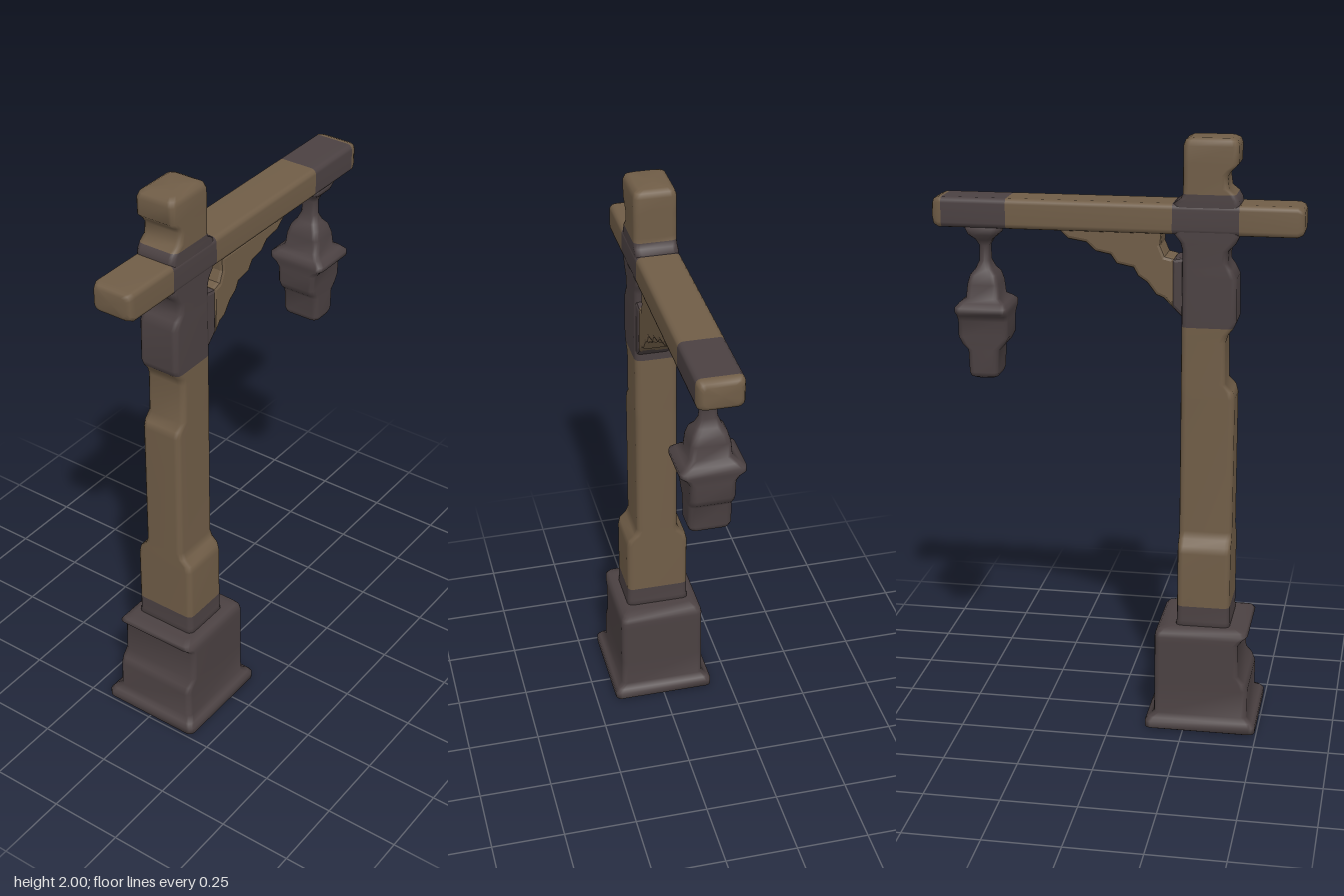
import * as THREE from 'three';

const wood = new THREE.MeshStandardMaterial({ color: 0x705d47 });
wood.name = 'weathered wood';
const iron = new THREE.MeshStandardMaterial({ color: 0x4b4142 });
iron.name = 'dark iron';
const W = 0, D = 1;

// Smooth loft of rounded rectangles: rows are [height, x0, x1, half depth, colour of the band above]
function loft(name, rows, radius) {
  const pos = [], idx = [], geo = new THREE.BufferGeometry();
  const steps = 4, n = steps * 4;
  const ring = ([y, x0, x1, hz]) => {
    const r = Math.min(radius, (x1 - x0) / 2.2, hz / 1.1);
    for (let c = 0; c < 4; c++) {
      const cx = c === 0 || c === 3 ? x1 - r : x0 + r;
      const cz = c < 2 ? hz - r : r - hz;
      for (let s = 0; s < steps; s++) {
        const a = (c + s / (steps - 1)) * Math.PI / 2;
        pos.push(cx + Math.cos(a) * r, y, cz + Math.sin(a) * r);
      }
    }
  };
  rows.forEach(ring);
  const cap = (row, base, up) => {
    const c = pos.length / 3, start = idx.length;
    pos.push((row[1] + row[2]) / 2, row[0], 0);
    for (let j = 0; j < n; j++) {
      const a = base + j, b = base + (j + 1) % n;
      idx.push(c, ...(up ? [b, a] : [a, b]));
    }
    geo.addGroup(start, idx.length - start, row[4]);
  };
  cap(rows[0], 0, false);
  for (let i = 0; i < rows.length - 1; i++) {
    const start = idx.length;
    for (let j = 0; j < n; j++) {
      const a = i * n + j, b = i * n + (j + 1) % n;
      idx.push(a, a + n, b, b, a + n, b + n);
    }
    geo.addGroup(start, idx.length - start, rows[i][4]);
  }
  cap(rows[rows.length - 1], (rows.length - 1) * n, true);
  geo.setAttribute('position', new THREE.Float32BufferAttribute(pos, 3));
  geo.setIndex(idx);
  geo.computeVertexNormals();
  const mesh = new THREE.Mesh(geo, [wood, iron]);
  mesh.name = name;
  return mesh;
}

// Bevelled plate cut from an outline in the front plane
function plate(name, points, z0, z1, material) {
  const bevel = 0.012;
  const geo = new THREE.ExtrudeGeometry(new THREE.Shape(points.map(p => new THREE.Vector2(...p))), {
    depth: z1 - z0 - 2 * bevel, bevelThickness: bevel, bevelSize: bevel, bevelOffset: -bevel, bevelSegments: 2,
  });
  geo.translate(0, 0, z0 + bevel);
  const mesh = new THREE.Mesh(geo, material);
  mesh.name = name;
  return mesh;
}

export function createModel() {
  const model = new THREE.Group();
  model.name = 'lanternPost';

  // Plinth and base block, worn away on one side
  model.add(loft('base', [
    [0, -0.48, -0.135, 0.165, D], [0.008, -0.495, -0.12, 0.18, D],
    [0.03, -0.495, -0.12, 0.18, D], [0.042, -0.485, -0.13, 0.17, D],
    [0.055, -0.465, -0.147, 0.152, D], [0.15, -0.465, -0.147, 0.15, D],
    [0.175, -0.455, -0.147, 0.15, D], [0.2, -0.433, -0.147, 0.15, D],
    [0.31, -0.43, -0.147, 0.15, D], [0.33, -0.445, -0.147, 0.15, D],
    [0.345, -0.462, -0.15, 0.147, D], [0.357, -0.455, -0.16, 0.138, D],
    [0.364, -0.425, -0.19, 0.118, D],
  ], 0.02));

  // Upright post with its iron foot and collar
  model.add(loft('post', [
    [0.34, -0.4, -0.21, 0.115, D], [0.38, -0.395, -0.217, 0.11, D], [0.432, -0.395, -0.217, 0.11, W],
    [0.62, -0.395, -0.217, 0.11, W], [0.645, -0.395, -0.217, 0.104, W],
    [0.665, -0.395, -0.217, 0.083, W], [0.69, -0.395, -0.217, 0.073, W],
    [1.15, -0.395, -0.217, 0.073, W], [1.175, -0.388, -0.217, 0.073, W],
    [1.2, -0.364, -0.217, 0.073, W], [1.34, -0.362, -0.217, 0.073, W],
    [1.365, -0.37, -0.217, 0.073, W], [1.388, -0.388, -0.217, 0.073, D],
    [1.41, -0.397, -0.217, 0.073, D], [1.55, -0.395, -0.217, 0.073, D],
    [1.58, -0.38, -0.217, 0.072, D], [1.6, -0.365, -0.217, 0.072, D],
    [1.64, -0.367, -0.217, 0.072, D], [1.665, -0.39, -0.21, 0.072, D],
    [1.69, -0.402, -0.19, 0.072, D], [1.79, -0.402, -0.188, 0.072, D],
    [1.805, -0.398, -0.21, 0.072, D], [1.822, -0.388, -0.217, 0.072, W],
    [1.84, -0.365, -0.217, 0.072, W], [1.88, -0.36, -0.217, 0.072, W],
    [1.9, -0.375, -0.217, 0.072, W], [1.92, -0.395, -0.217, 0.072, W],
    [1.975, -0.396, -0.217, 0.072, W], [1.992, -0.39, -0.223, 0.066, W],
    [2, -0.375, -0.238, 0.052, W],
  ], 0.02));

  // Crossbeam, lofted upright and then laid along x
  const end = (x, inset) => [x, -1.79 + inset, -1.69 - inset, 0.074 - inset, W];
  const span = (x, colour) => [x, -1.79, -1.69, 0.074, colour];
  const beam = loft('crossbeam', [
    end(-0.608, 0.018), end(-0.602, 0.007), end(-0.585, 0),
    span(-0.4, D), span(-0.185, W), span(0.36, D), span(0.575, W),
    end(0.585, 0), end(0.602, 0.007), end(0.608, 0.018),
  ], 0.018);
  beam.geometry.rotateZ(-Math.PI / 2);
  model.add(beam);

  // Ragged diagonal brace, leaving a small gap by the post
  model.add(plate('brace', [
    [-0.19, 1.44], [-0.155, 1.475], [-0.13, 1.485], [-0.1, 1.525], [-0.07, 1.545],
    [-0.055, 1.572], [0, 1.583], [0.02, 1.612], [0.07, 1.622], [0.1, 1.65],
    [0.16, 1.66], [0.2, 1.7], [-0.15, 1.7], [-0.145, 1.65], [-0.16, 1.615], [-0.19, 1.608],
  ], -0.045, 0.068, wood));
  model.add(plate('braceFoot', [
    [-0.24, 1.4], [-0.215, 1.415], [-0.18, 1.45], [-0.18, 1.605], [-0.24, 1.615],
  ], -0.045, 0.068, iron));

  // Hanging lantern: body, brimmed roof, neck and flared mount
  const lantern = [
    [1.183, 0.035, 0.05], [1.19, 0.046, 0.064], [1.205, 0.05, 0.07], [1.28, 0.053, 0.07],
    [1.3, 0.072, 0.071], [1.325, 0.085, 0.072], [1.38, 0.085, 0.074], [1.4, 0.086, 0.088],
    [1.412, 0.088, 0.104], [1.428, 0.088, 0.104], [1.442, 0.076, 0.085], [1.455, 0.057, 0.068],
    [1.5, 0.053, 0.064], [1.53, 0.045, 0.055], [1.548, 0.03, 0.042], [1.575, 0.018, 0.03],
    [1.625, 0.017, 0.028], [1.645, 0.028, 0.036], [1.665, 0.05, 0.055], [1.695, 0.06, 0.066],
  ];
  model.add(loft('lantern', lantern.map(([y, hx, hz]) => [y, 0.445 - hx, 0.445 + hx, hz, D]), 0.02));

  return model;
}
